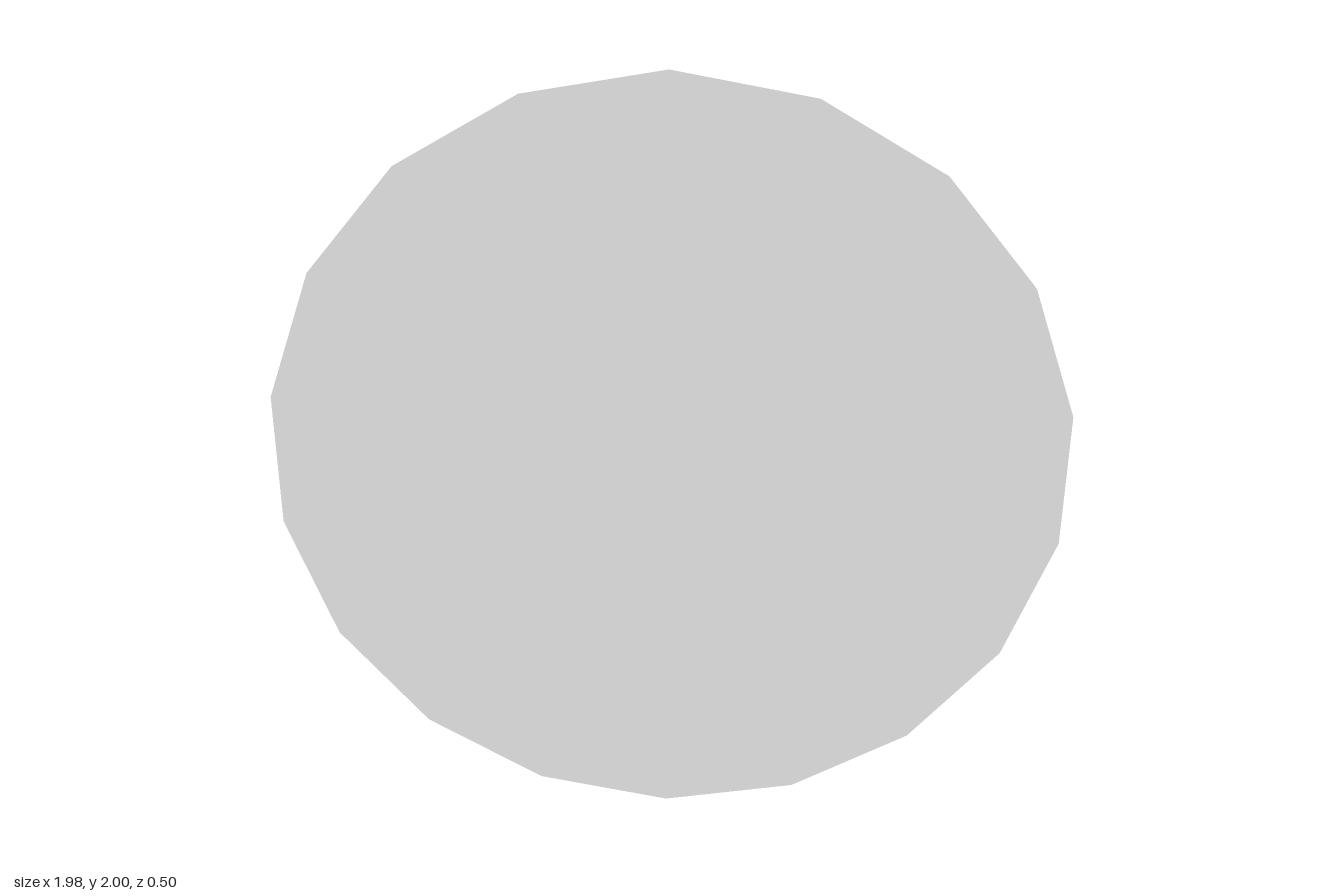
import * as THREE from 'three';

const SIDES = 18;
const RIM = 1.0036; // rim radius

export function createModel() {
  const model = new THREE.Group();
  model.name = 'roundShield';

  const lightGrey = new THREE.MeshStandardMaterial({ color: 0xdedede });
  lightGrey.name = 'lightGrey';
  lightGrey.flatShading = true;

  // Everything hangs on one group that leans back; local +z is the flat face
  const shield = new THREE.Group();
  shield.name = 'shield';
  shield.position.set(0, 1, 0.165);
  shield.rotation.x = -0.085;
  model.add(shield);

  const add = (name, geometry) => {
    const mesh = new THREE.Mesh(geometry, lightGrey);
    mesh.name = name;
    shield.add(mesh);
    return mesh;
  };

  // Faceted dome: shallow centre cone with a steeper outer band
  const profile = [[0, -0.29], [0.7227, -0.137], [RIM, 0]]
    .map(([r, h]) => new THREE.Vector2(r, h));
  add('dome', new THREE.LatheGeometry(profile, SIDES).rotateX(Math.PI / 2));

  // Flat face closing the dome
  add('flatFace', new THREE.CircleGeometry(RIM, SIDES, Math.PI / 2));

  // Small five-sided spike at the back, slightly off centre, one corner down
  const spike = new THREE.ConeGeometry(0.067, 0.13, 5)
    .rotateX(-Math.PI / 2)
    .rotateZ(Math.PI);
  add('spike', spike).position.set(-0.025, 0.01, -0.346);

  return model;
}
